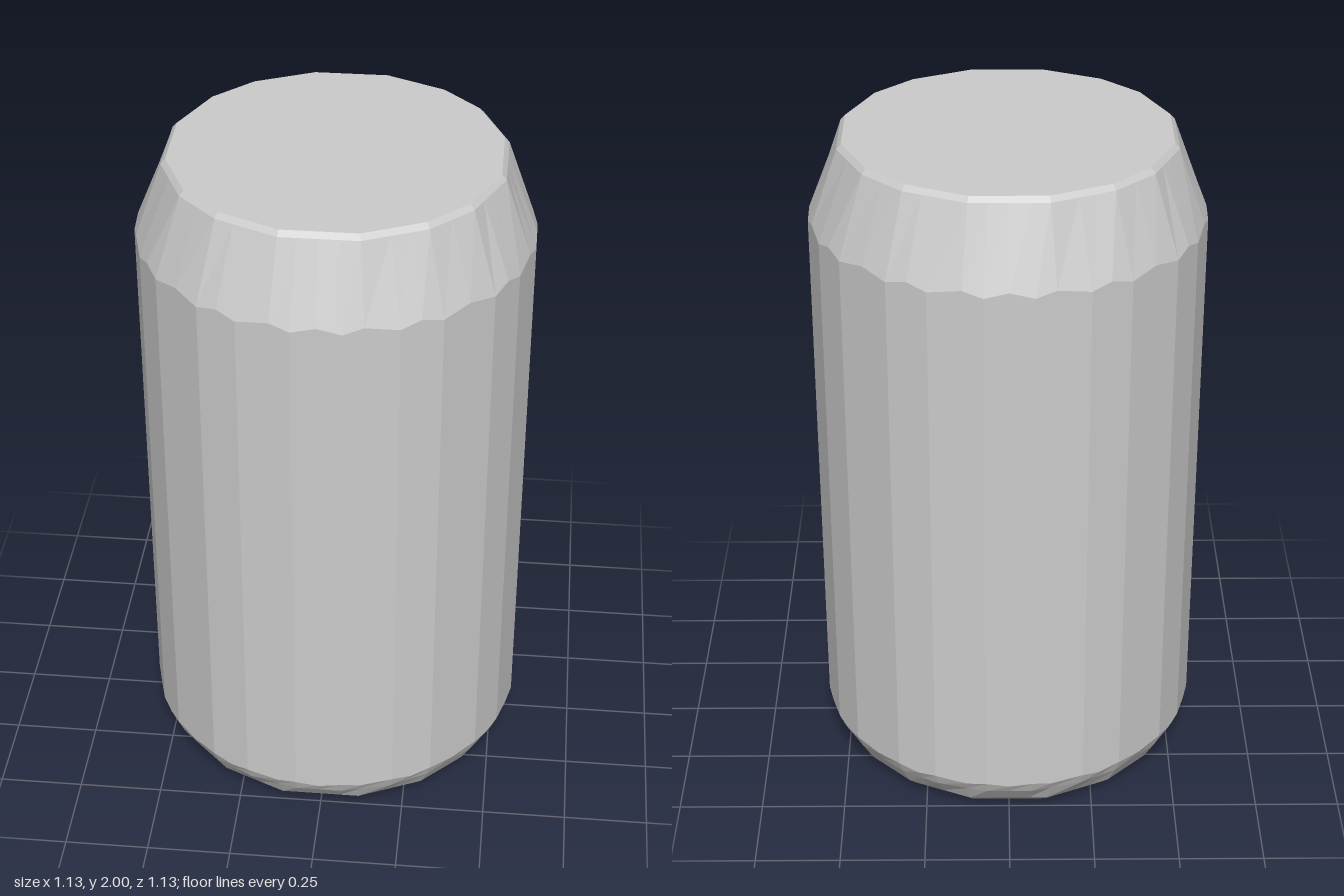
import * as THREE from 'three';

// Corner angles (degrees) within one quarter turn
const BODY = [7, 22.8, 35.7, 54.3, 67.2, 83];
const RIM = [13, 35.7, 54.3, 77];
const SAMPLES = [0, 7, 13, 22.8, 29, 35.7, 45, 54.3, 61, 67.2, 77, 83];

// Distance from the axis to a polygon's edge at a given angle
function polygonRadius(corners, R, deg) {
  const all = [corners[corners.length - 1] - 90, ...corners, corners[0] + 90];
  const i = Math.max(1, all.findIndex((c) => c > deg));
  const mid = (all[i - 1] + all[i]) / 2;
  const rad = THREE.MathUtils.degToRad;
  return (R * Math.cos(rad(all[i] - mid))) / Math.cos(rad(deg - mid));
}

// Horizontal ring; scallop moves points between body corners up or down
function ring(corners, R, y, scallop = 0) {
  const points = [];
  for (let q = 0; q < 4; q++) {
    for (const deg of SAMPLES) {
      const r = polygonRadius(corners, R, deg);
      const a = THREE.MathUtils.degToRad(deg + q * 90);
      const lift = BODY.includes(deg) ? 0 : scallop;
      points.push(new THREE.Vector3(r * Math.sin(a), y + lift, r * Math.cos(a)));
    }
  }
  return points;
}

const material = new THREE.MeshStandardMaterial({ color: 0xcccccc, flatShading: true });

function facetMesh(name, points) {
  const geometry = new THREE.BufferGeometry().setFromPoints(points);
  geometry.computeVertexNormals();
  const mesh = new THREE.Mesh(geometry, material);
  mesh.name = name;
  return mesh;
}

// Wall joining a stack of rings from bottom to top
function wall(name, rings) {
  const tris = [];
  for (let k = 0; k < rings.length - 1; k++) {
    const lo = rings[k], hi = rings[k + 1];
    lo.forEach((p, i) => {
      const j = (i + 1) % lo.length;
      tris.push(p, lo[j], hi[j], p, hi[j], hi[i]);
    });
  }
  return facetMesh(name, tris);
}

// Flat disc closing a ring
function disc(name, points, up) {
  const centre = new THREE.Vector3(0, points[0].y, 0);
  const tris = [];
  points.forEach((p, i) => {
    const next = points[(i + 1) % points.length];
    tris.push(centre, up ? p : next, up ? next : p);
  });
  return facetMesh(name, tris);
}

export function createModel() {
  const group = new THREE.Group();
  group.name = 'can';

  const foot = ring(RIM, 0.468, 0);
  const bodyBottom = ring(BODY, 0.57, 0.135, -0.01);
  const bodyTop = ring(BODY, 0.57, 1.75, 0.016);
  const rim = ring(RIM, 0.4876, 1.985);
  const lidEdge = ring(RIM, 0.474, 2);

  group.add(
    disc('base', foot, false),
    // Rounded lower edge
    wall('lowerTaper', [
      foot,
      ring(RIM, 0.488, 0.008),
      ring(RIM, 0.519, 0.037),
      ring(BODY, 0.553, 0.095),
      bodyBottom,
    ]),
    wall('body', [bodyBottom, bodyTop]),
    wall('shoulder', [bodyTop, rim]),
    // Narrow bevel round the lid
    wall('rimBevel', [rim, lidEdge]),
    disc('lid', lidEdge, true),
  );
  return group;
}
